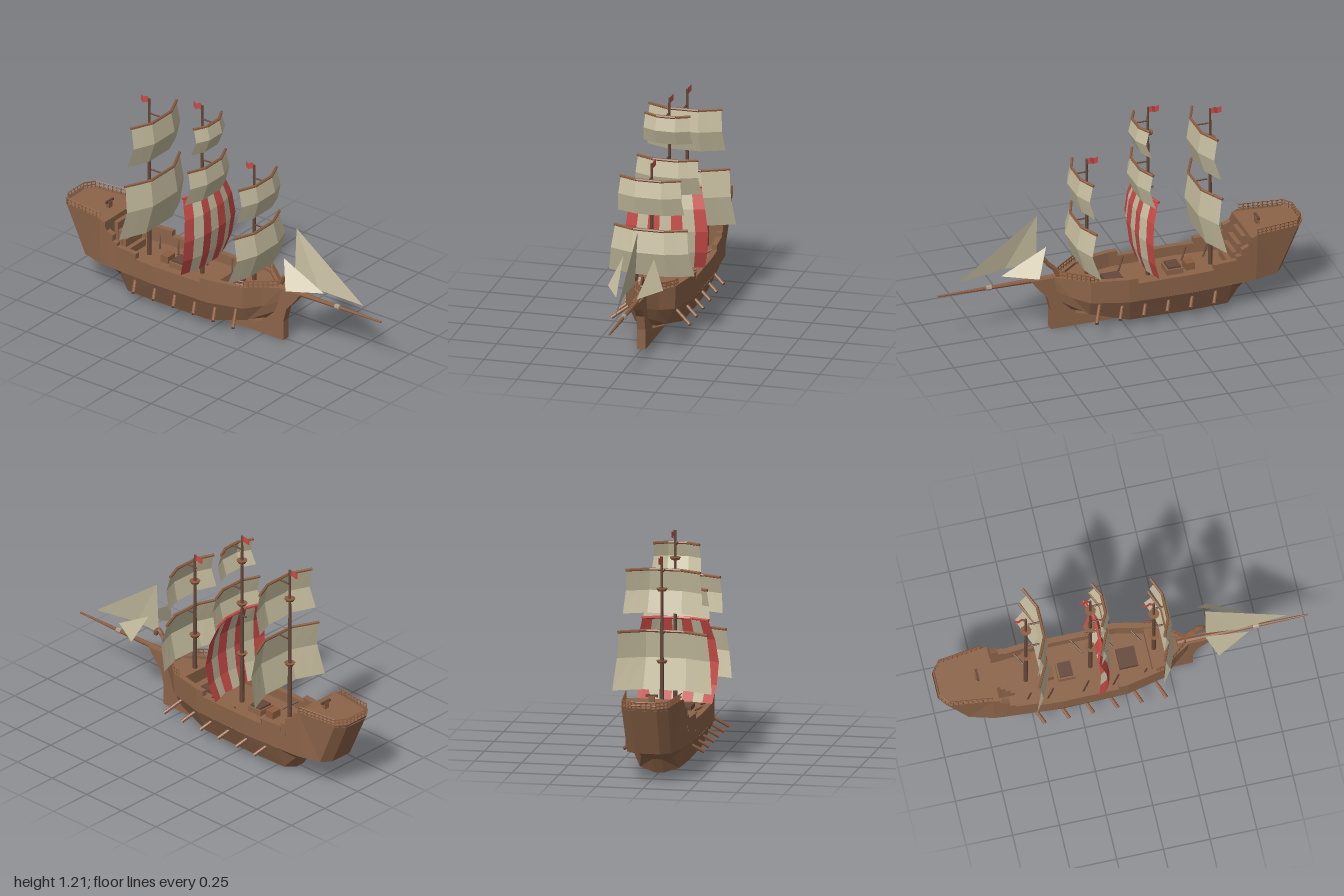
import * as THREE from 'three';

const mat = (name, color) => {
  const m = new THREE.MeshStandardMaterial({ color, flatShading: true, side: THREE.DoubleSide });
  m.name = name;
  return m;
};

export function createModel() {
  const ship = new THREE.Group();
  ship.name = 'sailingShip';
  const wood = mat('hull wood', 0x8c6449), dark = mat('mast wood', 0x65483a), trim = mat('yard wood', 0x8b5d40);
  const cream = mat('sailcloth', 0xc6bd9f), red = mat('red cloth', 0xc74b47), rope = mat('pale rope', 0xa99a86);
  const V = (x, y, z) => new THREE.Vector3(x, y, z);

  const add = (name, geo, m, parent = ship) => {
    const mesh = new THREE.Mesh(geo, m);
    mesh.name = name;
    parent.add(mesh);
    return mesh;
  };
  const group = (name) => {
    const g = new THREE.Group();
    g.name = name;
    ship.add(g);
    return g;
  };
  const box = (name, w, h, d, x, y, z, m, parent) =>
    add(name, new THREE.BoxGeometry(w, h, d), m, parent).position.set(x, y, z);
  // Tapered rod between two points
  const rod = (name, a, b, r0, r1, m, parent, sides = 6) => {
    const d = b.clone().sub(a);
    const mesh = add(name, new THREE.CylinderGeometry(r1, r0, d.length(), sides), m, parent);
    mesh.position.copy(a).add(b).multiplyScalar(0.5);
    mesh.quaternion.setFromUnitVectors(V(0, 1, 0), d.normalize());
  };
  // Surface through rows of [x, y, z] points
  const loft = (rows, mirror = 1) => {
    const p = [];
    for (let i = 0; i + 1 < rows.length; i++)
      for (let j = 0; j + 1 < rows[i].length; j++) {
        const a = rows[i][j], b = rows[i][j + 1], c = rows[i + 1][j + 1], d = rows[i + 1][j];
        const q = mirror > 0 ? [a, b, c, a, c, d] : [a, c, b, a, d, c];
        q.forEach((v) => p.push(v[0] * mirror, v[1], v[2]));
      }
    const g = new THREE.BufferGeometry();
    g.setAttribute('position', new THREE.Float32BufferAttribute(p, 3));
    g.computeVertexNormals();
    return g;
  };
  // Level deck from a half outline of [z, halfWidth]
  const deck = (name, half, y) => {
    const pts = half.map(([z, w]) => new THREE.Vector2(w, -z));
    const other = half.map(([z, w]) => new THREE.Vector2(-w, -z)).reverse();
    const g = new THREE.ShapeGeometry(new THREE.Shape([...pts, ...other])).rotateX(-Math.PI / 2);
    add(name, g.translate(0, y, 0), wood);
  };

  // Lower hull: side, chine and keel at each station, bow to stern
  const lower = [
    [[0.015, 0.22, 0.36], [0.014, 0.16, 0.34], [0.01, 0.13, 0.32]],
    [[0.06, 0.19, 0.28], [0.045, 0.13, 0.28], [0.022, 0.1, 0.27]],
    [[0.125, 0.175, 0.2], [0.085, 0.085, 0.19], [0.025, 0.065, 0.18]],
    [[0.175, 0.165, 0], [0.115, 0.03, -0.02], [0.025, 0, -0.04]],
    [[0.18, 0.165, -0.35], [0.115, 0.025, -0.35], [0.025, 0, -0.35]],
    [[0.163, 0.16, -0.57], [0.105, 0.025, -0.57], [0.025, 0, -0.585]],
    [[0.15, 0.16, -0.64], [0.085, 0.095, -0.635], [0.025, 0.08, -0.63]],
    [[0.08, 0.16, -0.72], [0.06, 0.13, -0.7], [0.025, 0.12, -0.69]],
  ].map((r) => [...r, [0, r[2][1], r[2][2]]]);
  // Upper hull: [z, half width, rail height, lower z, lower height]
  const upper = [
    [0.37, 0.015, 0.3, 0.36, 0.22], [0.28, 0.07, 0.3, 0.28, 0.19], [0.2, 0.135, 0.3, 0.2, 0.175],
    [0, 0.177, 0.3, 0, 0.165], [-0.05, 0.178, 0.3, -0.05, 0.165], [-0.05, 0.178, 0.27, -0.05, 0.165],
    [-0.35, 0.18, 0.27, -0.35, 0.165], [-0.47, 0.174, 0.27, -0.47, 0.163], [-0.47, 0.174, 0.3, -0.47, 0.163],
    [-0.6, 0.163, 0.3, -0.6, 0.16], [-0.6, 0.163, 0.32, -0.6, 0.16], [-0.63, 0.161, 0.32, -0.63, 0.16],
    [-0.63, 0.161, 0.355, -0.63, 0.16], [-0.67, 0.158, 0.37, -0.67, 0.16], [-0.69, 0.156, 0.41, -0.69, 0.16],
    [-0.72, 0.154, 0.425, -0.71, 0.16], [-0.955, 0.125, 0.425, -0.84, 0.16], [-0.997, 0.07, 0.425, -0.88, 0.16],
    [-0.997, 0, 0.425, -0.88, 0.16],
  ];
  const inset = (w) => Math.max(w - 0.03, 0);
  const open = upper.filter((s) => s[0] > -0.68);
  const hull = group('hull');
  for (const s of [1, -1]) {
    add('lowerHull', loft(lower, s), wood, hull);
    add('upperHull', loft(upper.map(([z, w, y, zb, yb]) =>
      [[w, y, z], [z < -0.8 ? w * 0.93 : w * 0.985, yb, zb]]), s), wood, hull);
    add('sternUnderside', loft(upper.filter((u) => u[0] <= -0.6).map(([z, w, , zb, yb]) =>
      [[z < -0.8 ? w * 0.93 : w * 0.985, yb, zb], [0, yb, zb]]), s), wood, hull);
    add('gunwale', loft(open.map(([z, w, y]) => [[inset(w), 0.2, z], [inset(w), y, z], [w, y, z]]), s), wood, hull);
  }

  // Stem and keel blade
  const stem = new THREE.Shape([[0.38, 0], [0.38, 0.11], [0.4, 0.19], [0.45, 0.245], [0.49, 0.3],
    [0.3, 0.3], [0.24, 0.07], [0, 0.005], [-0.58, 0.01], [-0.58, 0]].map((p) => new THREE.Vector2(...p)));
  add('stem', new THREE.ExtrudeGeometry(stem, { depth: 0.044, bevelEnabled: false })
    .rotateY(-Math.PI / 2).translate(0.022, 0, 0), wood, hull);

  // Decks
  const width = (z) => {
    const i = upper.findIndex((s, k) => k > 0 && s[0] <= z), a = upper[i - 1], b = upper[i];
    return a[0] === b[0] ? b[1] : a[1] + (b[1] - a[1]) * (z - a[0]) / (b[0] - a[0]);
  };
  const span = (zs) => zs.map((z) => [z, width(z) - 0.002]);
  deck('mainDeck', span([0.2, 0, -0.35, -0.47, -0.69]), 0.215);
  deck('foreDeck', span([0.36, 0.28, 0.2, 0.15]), 0.285);
  deck('poopDeck', span([-0.69, -0.72, -0.955, -0.996]), 0.412);
  box('poopBulkhead', 0.306, 0.21, 0.01, 0, 0.308, -0.69, wood);
  box('foreBulkhead', 0.27, 0.08, 0.01, 0, 0.245, 0.15, wood);

  // Stairs to the poop and deck fittings
  for (let i = 0; i < 4; i++) box('poopStair', 0.14, 0.04 + i * 0.043, 0.025, 0, 0.235 + i * 0.0215, -0.595 - i * 0.026, wood);
  const fittings = group('deckFittings');
  box('hatch', 0.1, 0.03, 0.09, 0, 0.23, -0.3, wood, fittings);
  box('hatchCover', 0.08, 0.01, 0.07, 0, 0.25, -0.3, dark, fittings);
  box('chest', 0.06, 0.04, 0.05, 0, 0.235, -0.39, trim, fittings);
  box('grating', 0.11, 0.02, 0.1, 0, 0.225, 0.03, dark, fittings);
  for (const z of [-0.55, -0.43, -0.24, -0.08, 0.07]) for (const s of [1, -1])
    rod('deckBrace', V(s * 0.15, 0.26, z), V(s * 0.08, 0.22, z + 0.05), 0.005, 0.005, dark, fittings);
  box('helmPost', 0.03, 0.035, 0.02, 0, 0.43, -0.77, trim, fittings);
  box('helmBar', 0.065, 0.012, 0.012, 0, 0.448, -0.77, dark, fittings);

  // Railings that follow the hull outline
  const railing = (name, half, y, h) => {
    const g = group(name);
    const path = [...half, ...half.slice().reverse().map(([x, z]) => [-x, z])];
    for (let i = 0; i + 1 < path.length; i++) {
      const [ax, az] = path[i], [bx, bz] = path[i + 1], len = Math.hypot(bx - ax, bz - az);
      for (const k of [0.5, 1]) rod('rail', V(ax, y + h * k, az), V(bx, y + h * k, bz), 0.004, 0.004, trim, g, 4);
      const n = Math.max(1, Math.round(len / 0.025));
      for (let j = 0; j < n; j++) {
        const x = ax + (bx - ax) * j / n, z = az + (bz - az) * j / n;
        rod('baluster', V(x, y, z), V(x, y + h, z), 0.004, 0.004, trim, g, 4);
      }
    }
  };
  railing('poopRailing', [[0.148, -0.72], [0.12, -0.95], [0.066, -0.988]], 0.42, 0.035);
  railing('foreRailing', [[0.137, 0.16], [0.128, 0.2], [0.065, 0.28], [0.014, 0.34]], 0.295, 0.037);

  // Bowsprit and curled figurehead
  rod('bowsprit', V(0, 0.295, 0.3), V(0, 0.296, 1), 0.017, 0.005, trim, ship, 8);
  rod('bowspritCollar', V(0, 0.296, 0.705), V(0, 0.296, 0.735), 0.015, 0.015, rope, ship, 8);
  const curl = new THREE.CatmullRomCurve3([V(0.01, 0.3, 0.335), V(0.01, 0.35, 0.36), V(0.01, 0.385, 0.395),
    V(0.01, 0.42, 0.42), V(0.01, 0.41, 0.44), V(0.01, 0.385, 0.45)]);
  add('figurehead', new THREE.TubeGeometry(curl, 12, 0.013, 6), trim);

  // Guns along both sides
  for (let i = 0; i < 6; i++) for (const s of [1, -1]) {
    const z = 0.16 - i * 0.13;
    rod('gun', V(s * 0.11, 0.165, z - 0.02), V(s * 0.213, 0.093, z + 0.035), 0.008, 0.01, trim, ship, 8);
  }

  // Masts with tops and flags
  const mast = (name, z, top, tops) => {
    const g = group(name);
    rod('pole', V(0, 0.2, z), V(0, top, z), 0.013, 0.006, dark, g, 8);
    tops.forEach((y) => rod('mastTop', V(0, y - 0.007, z), V(0, y + 0.007, z), 0.022, 0.03, trim, g, 8));
    const f = [[0, 0], [-0.02, 0.008], [-0.04, -0.002], [-0.06, 0.006]];
    add('flag', loft(f.map(([dz, dy], i) => [[i % 2 * 0.006, top + dy, z + dz], [i % 2 * 0.006, top - 0.034 + dy, z + dz]])), red, g);
  };
  mast('foreMast', 0.175, 0.96, [0.48, 0.8]);
  mast('mainMast', -0.165, 1.205, [0.5, 0.8, 1.055]);
  mast('aftMast', -0.51, 1.135, [0.575, 0.96]);

  // Square sails: rows of [y, half width, z]; the sides sweep back by bend
  const sail = (name, rows, bend, striped = false) => {
    const g = group(name);
    const at = ([y, w, z], u) => [u * w, y, z - bend * Math.max(0, (Math.abs(u) - 3 / 7) * 7 / 4)];
    const us = [-1, -5 / 7, -3 / 7, -1 / 7, 1 / 7, 3 / 7, 5 / 7, 1];
    for (let i = 0; i < 7; i++)
      add('sailPanel', loft(rows.map((r) => [at(r, us[i]), at(r, us[i + 1])])), striped && i % 2 === 0 ? red : cream, g);
    const ends = [-1.02, -3 / 7, 3 / 7, 1.02].map((u) => V(...at(rows[0], u)));
    for (let i = 0; i < 3; i++) rod('yard', ends[i], ends[i + 1], 0.008, 0.008, striped ? red : trim, g);
    const [y, , z] = rows[0];
    rod('yardStrut', V(0, y, z), V(0, y, z - 0.07), 0.005, 0.005, dark, g);
  };
  sail('foreCourse', [[0.61, 0.195, 0.235], [0.49, 0.21, 0.263], [0.355, 0.232, 0.22]], 0.045);
  sail('foreTopsail', [[0.885, 0.162, 0.235], [0.795, 0.17, 0.257], [0.695, 0.18, 0.23]], 0.038);
  sail('mainCourse', [[0.73, 0.175, -0.125], [0.62, 0.205, -0.09], [0.5, 0.223, -0.08],
    [0.38, 0.215, -0.095], [0.285, 0.195, -0.125]], 0.035, true);
  sail('mainTopsail', [[0.885, 0.162, -0.095], [0.795, 0.17, -0.075], [0.695, 0.18, -0.105]], 0.04);
  sail('mainTopgallant', [[1.125, 0.12, -0.095], [1.05, 0.125, -0.075], [0.972, 0.132, -0.105]], 0.035);
  sail('aftCourse', [[0.72, 0.235, -0.425], [0.575, 0.248, -0.405], [0.41, 0.265, -0.445]], 0.065);
  sail('aftTopsail', [[1.05, 0.195, -0.43], [0.935, 0.202, -0.41], [0.82, 0.212, -0.445]], 0.05);

  // Triangular headsails
  add('jib', loft([[[0, 0.675, 0.45], [0, 0.675, 0.45], [0, 0.675, 0.45]],
    [[0, 0.355, 0.885], [-0.028, 0.375, 0.62], [-0.015, 0.385, 0.45]]]), cream);
  for (const s of [1, -1])
    add('sideJib', loft([[[0.083, 0.527, 0.43], [0.083, 0.527, 0.43]], [[0.15, 0.378, 0.49], [0.055, 0.382, 0.67]]], s), cream);

  return ship;
}
